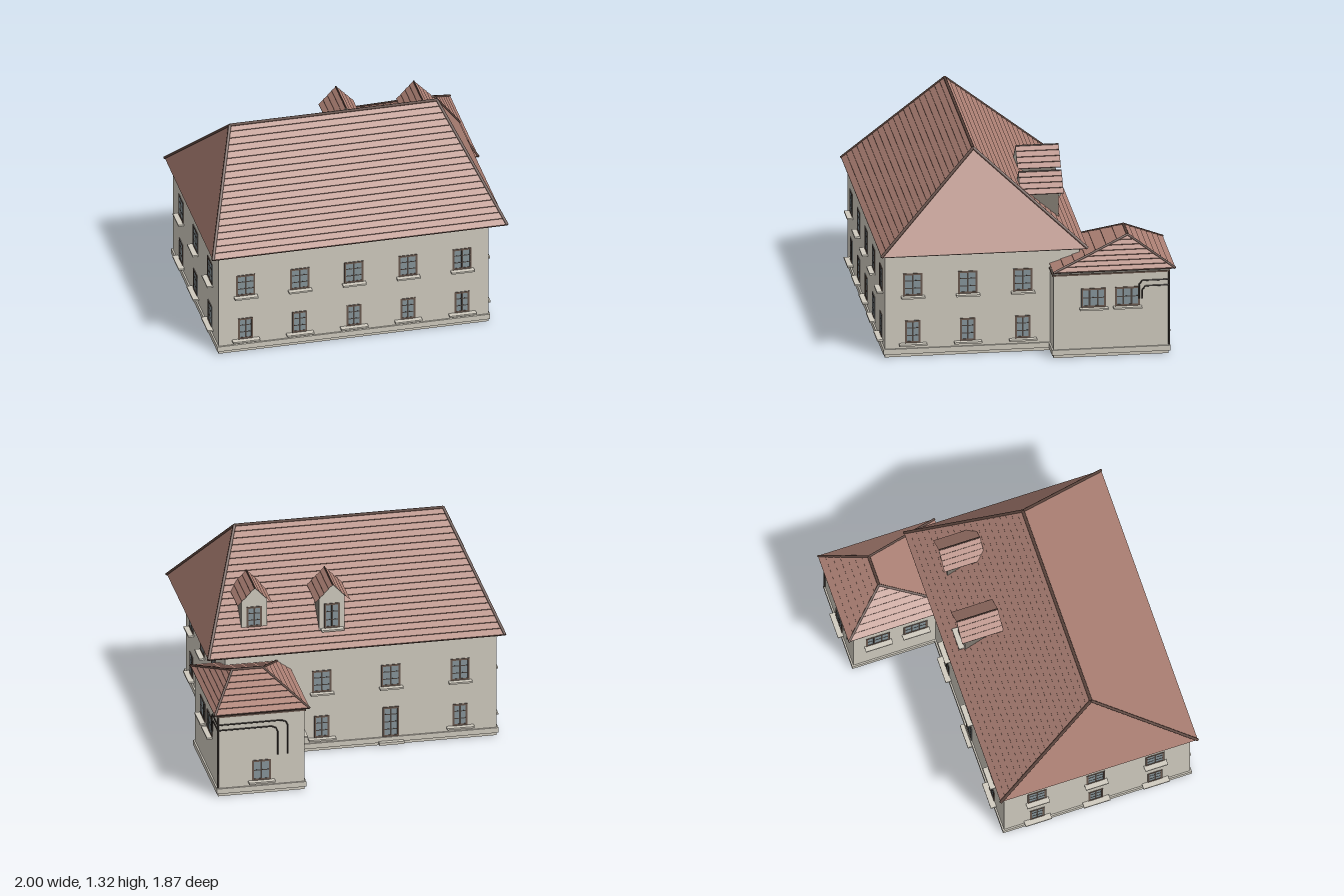
import * as THREE from 'three';

const mat = (name, color, double) => {
  const m = new THREE.MeshStandardMaterial({ color });
  m.name = name;
  if (double) m.side = THREE.DoubleSide;
  return m;
};

export function createModel() {
  const plaster = mat('plaster', 0xcfcabe);
  const cheek = mat('dormer cheek', 0x827b72);
  const tile = mat('roof tile', 0xac8074, true);
  const trim = mat('dark roof trim', 0x5c453d, true);
  const frameMat = mat('window frame', 0x69584e);
  const barMat = mat('glazing bar', 0x4a433e);
  const glass = mat('glass', 0x86949a);
  const pipeMat = mat('pipe', 0x38322e);

  const model = new THREE.Group();
  model.name = 'house';
  const V = (x, y, z) => new THREE.Vector3(x, y, z);

  const add = (parent, name, geo, material, x = 0, y = 0, z = 0) => {
    const m = new THREE.Mesh(geo, material);
    m.name = name;
    m.position.set(x, y, z);
    parent.add(m);
    return m;
  };
  // Box given by its extents
  const block = (parent, name, x0, x1, y0, y1, z0, z1, material) =>
    add(parent, name, new THREE.BoxGeometry(x1 - x0, y1 - y0, z1 - z0), material,
      (x0 + x1) / 2, (y0 + y1) / 2, (z0 + z1) / 2);
  // Round bar between two points
  const bar = (parent, name, a, b, r, material) => {
    const m = add(parent, name, new THREE.CylinderGeometry(r, r, a.distanceTo(b), 6), material);
    m.position.copy(a).add(b).multiplyScalar(0.5);
    m.quaternion.setFromUnitVectors(V(0, 1, 0), b.clone().sub(a).normalize());
  };
  const quads = (list) => {
    const p = [];
    for (const [a, b, c, d] of list) for (const v of [a, b, c, a, c, d]) p.push(v.x, v.y, v.z);
    const g = new THREE.BufferGeometry();
    g.setAttribute('position', new THREE.Float32BufferAttribute(p, 3));
    g.computeVertexNormals();
    return g;
  };

  // Walls with a plinth band and a band under the eaves
  function walls(name, x0, x1, z0, z1, top, bandY, bandH, bandMat) {
    const g = new THREE.Group();
    g.name = name;
    model.add(g);
    block(g, 'wall', x0, x1, 0, top, z0, z1, plaster);
    block(g, 'plinthBand', x0 - 0.01, x1 + 0.01, 0.02, 0.055, z0 - 0.01, z1 + 0.01, plaster);
    block(g, 'eaveBand', x0 - 0.008, x1 + 0.008, bandY, bandY + bandH, z0 - 0.008, z1 + 0.008, bandMat);
  }
  walls('mainWalls', -0.947, 0.802, -0.345, 0.893, 0.709, 0.69, 0.018, plaster);
  walls('annexWalls', 0.402, 0.958, -0.893, -0.16, 0.56, 0.547, 0.01, frameMat);

  // Roof slopes in overlapping courses, with dark risers; courses[i] is the count on side i
  function roof(name, x0, x1, z0, z1, y, ridgeA, ridgeB, courses, capR) {
    const g = new THREE.Group();
    g.name = name;
    model.add(g);
    const lift = 0.004;
    const c = [V(x0, y, z1), V(x1, y, z1), V(x1, y, z0), V(x0, y, z0)];
    const r = ridgeA.x === ridgeB.x ? [ridgeB, ridgeB, ridgeA, ridgeA] : [ridgeA, ridgeB, ridgeB, ridgeA];
    const faces = [], risers = [];
    courses.forEach((n, i) => {
      const j = (i + 1) % 4;
      const up = V(0, n > 1 ? lift : 0, 0);
      for (let k = 0; k < n; k++) {
        const at = (q, t) => c[q].clone().lerp(r[q], t);
        const a = at(i, k / n), b = at(j, k / n);
        const a2 = a.clone().add(up), b2 = b.clone().add(up);
        faces.push([a2, b2, at(j, (k + 1) / n), at(i, (k + 1) / n)]);
        if (n > 1) risers.push([a, b, b2, a2]);
      }
    });
    add(g, 'tiles', quads(faces), tile);
    add(g, 'courseEdges', quads(risers), trim);
    bar(g, 'ridgeCap', ridgeA, ridgeB, capR, trim);
    return { g, c, r };
  }
  // Hip caps, eave trim and soffit for a hipped roof
  function finishHips({ g, c, r }, capR) {
    const low = c.map((p, i) => p.clone().add(
      V(i === 0 || i === 3 ? 0.007 : -0.007, -0.002, i < 2 ? -0.007 : 0.007)));
    for (let i = 0; i < 4; i++) {
      bar(g, 'hipCap', c[i], r[i], capR, trim);
      bar(g, 'eaveTrim', low[i], low[(i + 1) % 4], 0.005, trim);
    }
    add(g, 'soffit', quads([[...c].reverse()]), tile);
  }
  finishHips(roof('mainRoof', -0.993, 0.917, -0.383, 0.93, 0.71,
    V(-0.735, 1.308, 0.305), V(0.61, 1.308, 0.305), [20, 1, 20, 1], 0.01), 0.01);
  finishHips(roof('annexRoof', 0.377, 0.988, -0.932, -0.155, 0.578,
    V(0.62, 0.757, -0.65), V(0.82, 0.757, -0.65), [7, 7, 7, 7], 0.009), 0.008);

  // Window built facing +z, then turned onto its wall
  function windowAt(x, y0, z, turn, w, h, cols, rows, sillW) {
    const g = new THREE.Group();
    g.name = 'window';
    g.position.set(x, y0, z);
    g.rotation.y = turn * Math.PI / 2;
    model.add(g);
    const f = 0.012, hw = w / 2;
    block(g, 'glass', -hw, hw, 0, h, -0.004, 0.0015, glass);
    for (const s of [-1, 1]) {
      block(g, 'jamb', s * (hw - f / 2) - f / 2, s * (hw - f / 2) + f / 2, 0, h, -0.004, 0.004, frameMat);
    }
    block(g, 'frameBottom', -hw + f, hw - f, 0, f, -0.004, 0.004, frameMat);
    block(g, 'frameTop', -hw + f, hw - f, h - f, h, -0.004, 0.004, frameMat);
    for (let i = 1; i < cols; i++) {
      const p = -hw + w * i / cols;
      block(g, 'mullion', p - 0.005, p + 0.005, f, h - f, 0, 0.003, barMat);
    }
    for (let i = 1; i < rows; i++) {
      const p = h * i / rows;
      block(g, 'crossBar', -hw + f, hw - f, p - 0.003, p + 0.003, 0, 0.0025, barMat);
    }
    if (sillW) block(g, 'sill', -sillW / 2, sillW / 2, -0.011, 0, -0.004, 0.037, plaster);
  }
  const upper = (x, z, t) => windowAt(x, 0.405, z, t, 0.124, 0.15, 2, 3, 0.15);
  const lower = (x, z, t) => windowAt(x, 0.09, z, t, 0.097, 0.15, 2, 3, 0.175);

  for (let i = 0; i < 5; i++) {
    upper(-0.773 + i * 0.351, 0.893, 0);
    lower(-0.773 + i * 0.351, 0.893, 0);
  }
  for (const z of [0.715, 0.365, 0.015]) { upper(0.802, z, 1); lower(0.802, z, 1); }
  for (const z of [-0.125, 0.265, 0.66]) { upper(-0.947, z, -1); lower(-0.947, z, -1); }
  for (const x of [-0.71, -0.265, 0.18]) upper(x, -0.345, 2);
  for (const x of [-0.71, 0.18]) lower(x, -0.345, 2);

  // Back door and step
  windowAt(-0.265, 0.056, -0.347, 2, 0.105, 0.205, 2, 4, 0);
  block(model, 'doorStep', -0.345, -0.185, 0.012, 0.03, -0.382, -0.345, plaster);

  // Annex windows
  for (const z of [-0.415, -0.63]) windowAt(0.958, 0.33, z, 1, 0.157, 0.127, 3, 2, 0.18);
  for (const z of [-0.73, -0.48]) windowAt(0.402, 0.33, z, -1, 0.157, 0.127, 3, 2, 0.18);
  windowAt(0.68, 0.09, -0.893, 2, 0.122, 0.14, 2, 2, 0.17);

  // Gabled dormers on the back slope
  function dormer(x, front, back, sillW, winY) {
    const base = 0.74, hw = 0.082;
    const s = new THREE.Shape();
    s.moveTo(-hw, base);
    s.lineTo(hw, base);
    s.lineTo(hw, 1.03);
    s.lineTo(0, 1.118);
    s.lineTo(-hw, 1.03);
    const geo = new THREE.ExtrudeGeometry(s, { depth: back - front, bevelEnabled: false });
    add(model, 'dormerWalls', geo, [plaster, cheek], x, 0, front);
    roof('dormerRoof', x - 0.112, x + 0.112, front - 0.03, back, 1.008,
      V(x, 1.126, front - 0.03), V(x, 1.126, back), [0, 4, 0, 4], 0.005);
    windowAt(x, winY, front, 2, 0.1, 0.985 - winY, 2, 3, sillW);
  }
  dormer(0.1, -0.278, -0.033, 0.145, 0.815);
  dormer(0.592, -0.23, 0.015, 0, 0.845);

  // Pipes wrapping the outer corner of the annex
  const px = 0.961, pz = -0.897;
  for (const [y, xEnd, zEnd] of [[0.495, 0.51, -0.705], [0.458, 0.575, -0.725]]) {
    const pts = [
      V(px, 0.375, zEnd), V(px, y - 0.025, zEnd), V(px, y, zEnd - 0.02), V(px, y, pz),
      V(xEnd + 0.04, y, pz), V(xEnd + 0.012, y - 0.012, pz), V(xEnd, y - 0.04, pz), V(xEnd, 0.26, pz),
    ];
    for (let i = 1; i < pts.length; i++) bar(model, 'wrapPipe', pts[i - 1], pts[i], 0.0045, pipeMat);
  }
  bar(model, 'downPipe', V(px - 0.001, 0.55, pz + 0.001), V(px - 0.001, 0.06, pz + 0.001), 0.006, pipeMat);

  return model;
}
